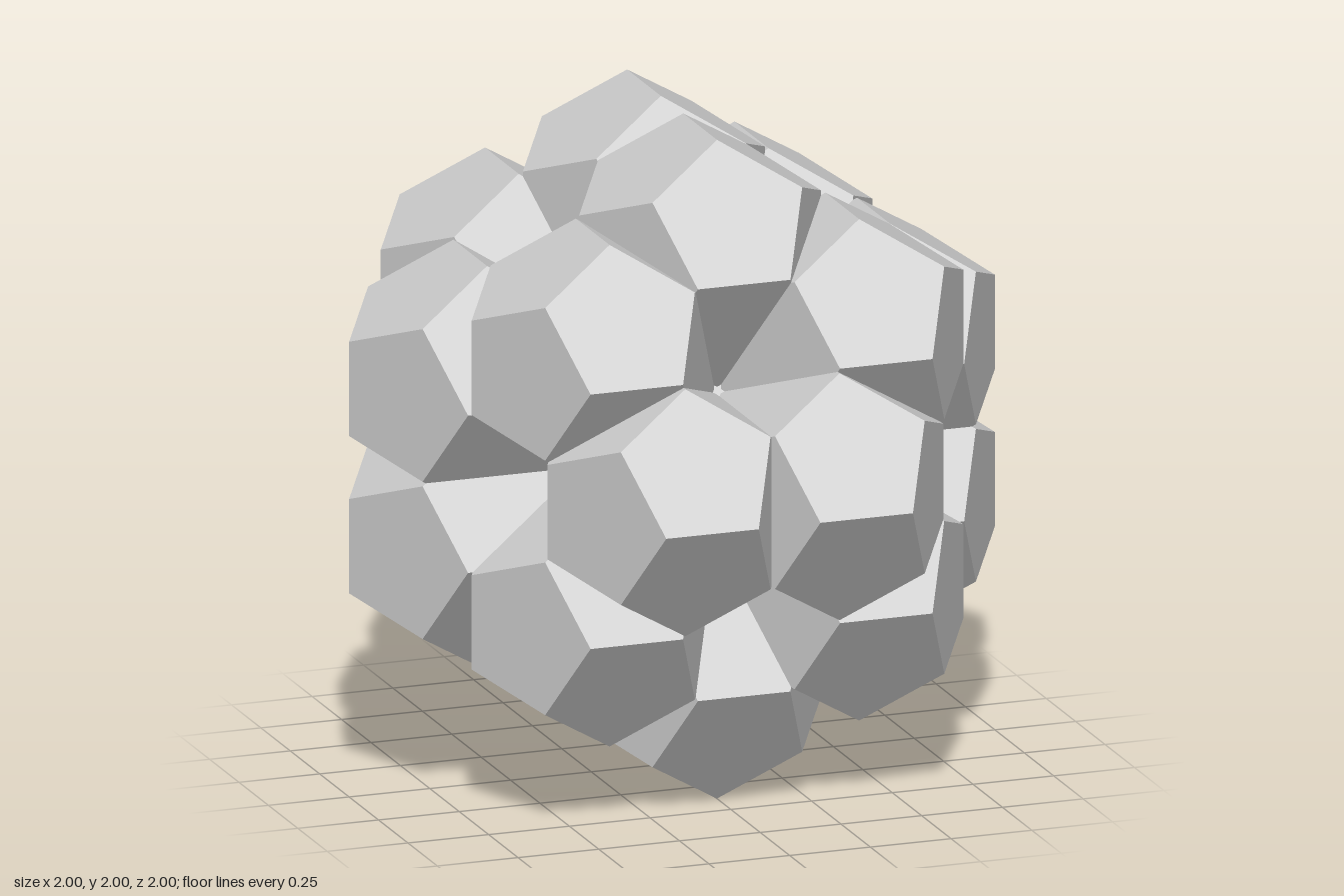
import * as THREE from 'three';

const PHI = (1 + Math.sqrt(5)) / 2;
const CUBE = 1 / PHI;   // half side of the cube inscribed in the enclosing dodecahedron
const SCALE = 0.375;    // size of each cell relative to the enclosing dodecahedron

// The 20 corners of the enclosing dodecahedron (extent 1 on every axis).
function dodecahedronCorners() {
  const corners = [];
  const short = CUBE / PHI;
  for (const a of [-1, 1]) {
    for (const b of [-1, 1]) {
      for (const c of [-1, 1]) corners.push(new THREE.Vector3(a, b, c).multiplyScalar(CUBE));
      corners.push(
        new THREE.Vector3(a * short, 0, b),
        new THREE.Vector3(0, a, b * short),
        new THREE.Vector3(a, b * short, 0)
      );
    }
  }
  return corners;
}

export function createModel() {
  const model = new THREE.Group();
  model.name = 'dodecahedronCluster';

  const material = new THREE.MeshStandardMaterial({ color: 0xcccccc, flatShading: true });

  // One cell, turned so that its front and back edges lie along x.
  const cell = new THREE.DodecahedronGeometry(Math.sqrt(3) * CUBE * SCALE);
  cell.rotateZ(Math.PI / 2);

  // A cell tucked into every corner of the enclosing dodecahedron.
  dodecahedronCorners().forEach((corner, i) => {
    const mesh = new THREE.Mesh(cell, material);
    mesh.name = `cell${i + 1}`;
    mesh.position.copy(corner).multiplyScalar(1 - SCALE);
    mesh.position.y += 1;
    model.add(mesh);
  });

  return model;
}
